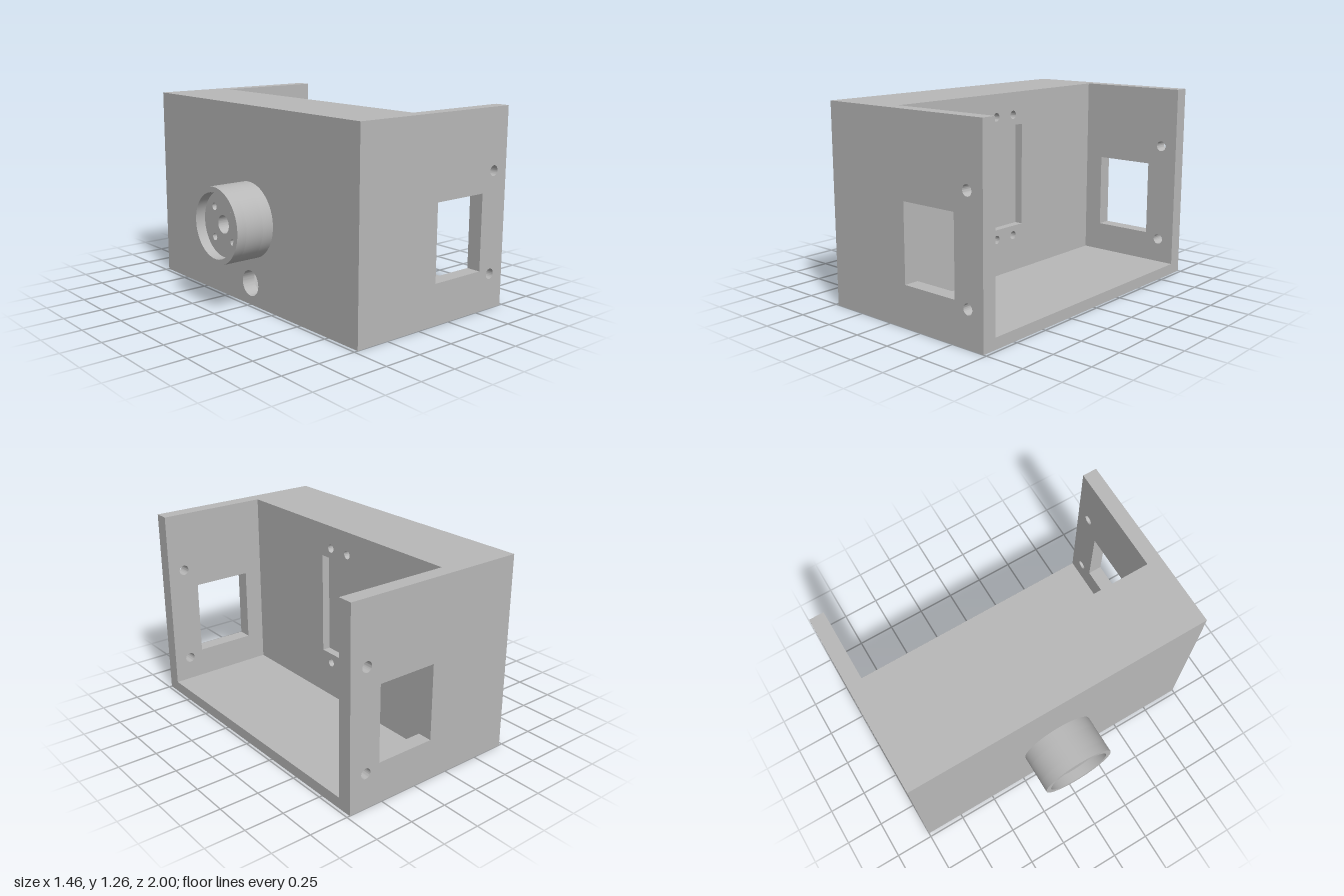
import * as THREE from 'three';
import { toCreasedNormals } from 'three/addons/utils/BufferGeometryUtils.js';

const grey = new THREE.MeshStandardMaterial({ color: 0xb8b8b8 });
grey.name = 'plain grey';

// Closed outlines, used for plates and for the holes in them
function rect(x0, y0, x1, y1, Type = THREE.Path) {
  return new Type([[x0, y0], [x1, y0], [x1, y1], [x0, y1]].map(p => new THREE.Vector2(...p)));
}
function circle(x, y, r, Type = THREE.Path) {
  const c = new Type();
  c.absarc(x, y, r, 0, Math.PI * 2, false);
  return c;
}

// Plate with holes, extruded along z
function plate(outline, holes, depth) {
  outline.holes.push(...holes);
  const g = new THREE.ExtrudeGeometry(outline, { depth, bevelEnabled: false, curveSegments: 32 });
  return toCreasedNormals(g, 0.6);
}

export function createModel() {
  const model = new THREE.Group();
  model.name = 'bracket';
  const add = (name, geometry) => {
    const mesh = new THREE.Mesh(geometry, grey);
    mesh.name = name;
    model.add(mesh);
    return mesh;
  };
  const box = (name, x0, x1, y0, y1, z0, z1) =>
    add(name, new THREE.BoxGeometry(x1 - x0, y1 - y0, z1 - z0))
      .position.set((x0 + x1) / 2, (y0 + y1) / 2, (z0 + z1) / 2);
  // Plate standing across x, from x0 to x1
  const crossPlate = (name, outline, holes, x0, x1) => {
    const g = plate(outline, holes, x1 - x0);
    g.rotateY(Math.PI / 2);
    g.translate(x0, 0, 0);
    return add(name, g);
  };

  const H = 1.26, floorTop = 0.07, lidBottom = 1.19, inner = 0.905;
  const xBack = -0.475, xBackInner = -0.385, xPanel = 0.01, xOpen = 0.73;

  // Side walls with a window and two screw holes
  for (const [name, z] of [['leftSideWall', inner], ['rightSideWall', -1]]) {
    const holes = [
      rect(0.133, 0.26, 0.522, 0.745),
      circle(0.618, 0.873, 0.033),
      circle(0.618, 0.227, 0.033),
    ];
    add(name, plate(rect(xBack, 0, xOpen, H, THREE.Shape), holes, 1 - inner)).position.z = z;
  }

  // Floor and the lid of the closed chamber
  box('floor', xBackInner, xOpen, 0, floorTop, -inner, inner);
  box('chamberLid', xBackInner, xPanel, lidBottom, H, -inner, inner);

  // Outer wall with shaft hole and cable hole
  const axis = 0.55;
  crossPlate('outerWall', rect(-inner, 0, inner, H, THREE.Shape),
    [circle(0, axis, 0.057), circle(0, 0.14, 0.083)], xBack, xBackInner);

  // Inner panel with motor opening and four screw holes
  const panelHoles = [rect(-0.168, 0.378, 0.168, 1.047)];
  for (const z of [-0.081, 0.081])
    for (const y of [0.313, 1.113]) panelHoles.push(circle(z, y, 0.027));
  crossPlate('innerPanel', rect(-inner, floorTop, inner, lidBottom, THREE.Shape),
    panelHoles, xPanel - 0.053, xPanel);

  // Round hub: base, drilled face and raised rim
  const disc = () => circle(0, axis, 0.24, THREE.Shape);
  const shaft = () => circle(0, axis, 0.057);
  const drilled = [shaft()];
  for (const z of [-0.095, 0.095])
    for (const y of [-0.095, 0.095]) drilled.push(circle(z, axis + y, 0.023));
  crossPlate('hubBase', disc(), [shaft()], -0.55, xBack);
  crossPlate('hubFace', disc(), drilled, -0.668, -0.55);
  crossPlate('hubRim', disc(), [circle(0, axis, 0.205)], -0.733, -0.668);

  return model;
}
